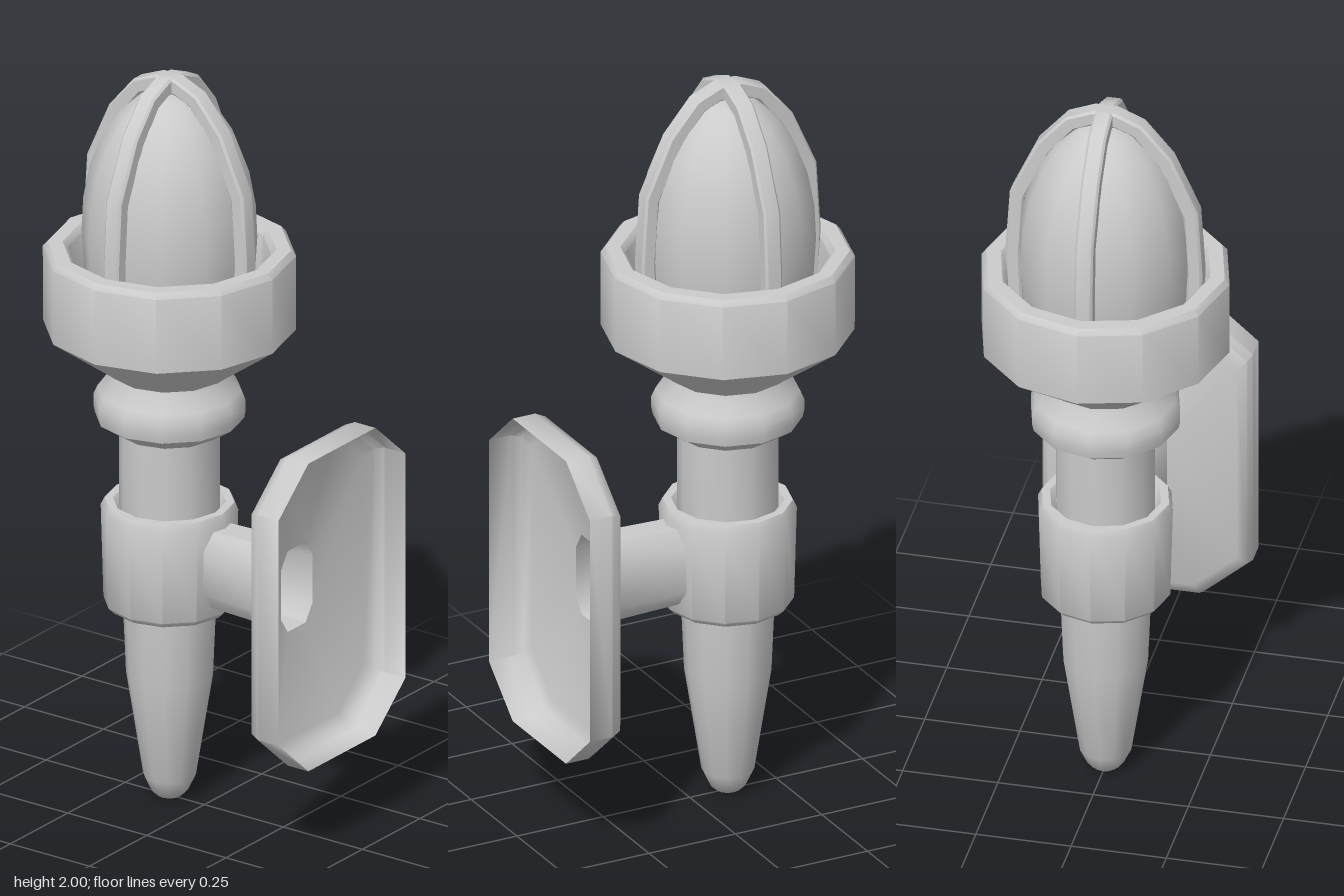
import * as THREE from 'three';
import { toCreasedNormals } from 'three/addons/utils/BufferGeometryUtils.js';

const AXIS_Z = -0.11; // centre line of the torch
const SIDES = 12;

export function createModel() {
  const model = new THREE.Group();
  const material = new THREE.MeshStandardMaterial({ color: 0xcccccc });
  const shellMaterial = new THREE.MeshStandardMaterial({ color: 0xcccccc, side: THREE.DoubleSide });

  const add = (name, geometry, mat = material) => {
    const mesh = new THREE.Mesh(geometry, mat);
    mesh.name = name;
    model.add(mesh);
    return mesh;
  };

  // Turned part around the torch axis, profile listed as [radius, y]
  const turned = (name, profile, crease = 0.75) => {
    const points = profile.map(([r, y]) => new THREE.Vector2(r, y));
    const mesh = add(name, toCreasedNormals(new THREE.LatheGeometry(points, SIDES), crease));
    mesh.position.z = AXIS_Z;
    return mesh;
  };

  // Tapered stem
  turned('stem', [
    [0, 0], [0.032, 0.003], [0.048, 0.018], [0.068, 0.06], [0.112, 0.34],
    [0.12, 0.53], [0.13, 0.82], [0.13, 1.03],
  ]);

  // Holder ring gripping the stem
  turned('holderRing', [
    [0.11, 0.53], [0.155, 0.53], [0.17, 0.545], [0.177, 0.8],
    [0.167, 0.82], [0.145, 0.82], [0.13, 0.8],
  ]);

  // Collar and bowl with hollow inside
  turned('collar', [
    [0.12, 1.01], [0.14, 1.02], [0.192, 1.055], [0.196, 1.075],
    [0.196, 1.105], [0.185, 1.13], [0.155, 1.17], [0.15, 1.2],
  ]);
  turned('bowl', [
    [0.14, 1.17], [0.165, 1.19], [0.325, 1.305], [0.326, 1.51], [0.313, 1.525],
    [0.275, 1.525], [0.262, 1.51], [0.25, 1.37], [0, 1.36],
  ]);

  // Glass globe
  turned('globe', [
    [0.2, 1.36], [0.22, 1.46], [0.226, 1.56], [0.222, 1.65], [0.205, 1.74],
    [0.175, 1.82], [0.13, 1.89], [0.07, 1.945], [0, 1.965],
  ], 1.2);

  // Two crossed arches guarding the globe
  const outer = [[0.252, 1.36], [0.259, 1.54], [0.247, 1.725], [0.177, 1.88], [0.1, 1.97], [0.03, 1.999]];
  const inner = [[0.03, 1.955], [0.077, 1.935], [0.142, 1.855], [0.208, 1.71], [0.219, 1.54], [0.212, 1.36]];
  const mirror = (pts) => pts.map(([x, y]) => [-x, y]).reverse();
  const outline = [...outer, ...mirror(outer), ...mirror(inner), ...inner];
  const bevel = 0.006;
  const archShape = new THREE.Shape(outline.map(([x, y]) => new THREE.Vector2(x, y)));
  const arch = new THREE.ExtrudeGeometry(archShape, {
    depth: 0.036, bevelEnabled: true, bevelSegments: 1,
    bevelSize: bevel, bevelThickness: bevel, bevelOffset: -bevel,
  });
  arch.translate(0, 0, -0.018);
  const archGeometry = toCreasedNormals(arch, 0.7);
  ['cageArchAcross', 'cageArchDeep'].forEach((name, i) => {
    const mesh = add(name, archGeometry);
    mesh.position.z = AXIS_Z;
    mesh.rotation.y = i * Math.PI / 2;
  });

  // Wall plate and hollow arm: chamfered rectangles joined along z
  // [z, half width, half height, chamfer x, chamfer y]
  const loft = (sections) => {
    const positions = [];
    const index = [];
    for (const [z, w, h, cx, cy] of sections) {
      const ring = [
        [w, h - cy], [w - cx, h], [cx - w, h], [-w, h - cy],
        [-w, cy - h], [cx - w, -h], [w - cx, -h], [w, cy - h],
      ];
      for (const [x, y] of ring) positions.push(x, y, z);
    }
    for (let s = 0; s < sections.length - 1; s++) {
      for (let i = 0; i < 8; i++) {
        const a = s * 8 + i;
        const b = s * 8 + (i + 1) % 8;
        index.push(a, a + 8, b, b, a + 8, b + 8);
      }
    }
    const geometry = new THREE.BufferGeometry();
    geometry.setAttribute('position', new THREE.Float32BufferAttribute(positions, 3));
    geometry.setIndex(index);
    return toCreasedNormals(geometry, 0.85);
  };

  const plate = add('wallPlate', loft([
    [0.435, 0.276, 0.427, 0.13, 0.115],
    [0.37, 0.276, 0.427, 0.13, 0.115],
    [0.343, 0.266, 0.415, 0.125, 0.11],
    [0.328, 0.243, 0.385, 0.115, 0.1],
    [0.292, 0.069, 0.112, 0.03, 0.045],
  ]), shellMaterial);
  plate.position.y = 0.677;

  const arm = add('arm', loft([
    [0.292, 0.069, 0.112, 0.03, 0.045],
    [0.03, 0.067, 0.105, 0.03, 0.045],
  ]), shellMaterial);
  arm.position.y = 0.677;

  return model;
}
